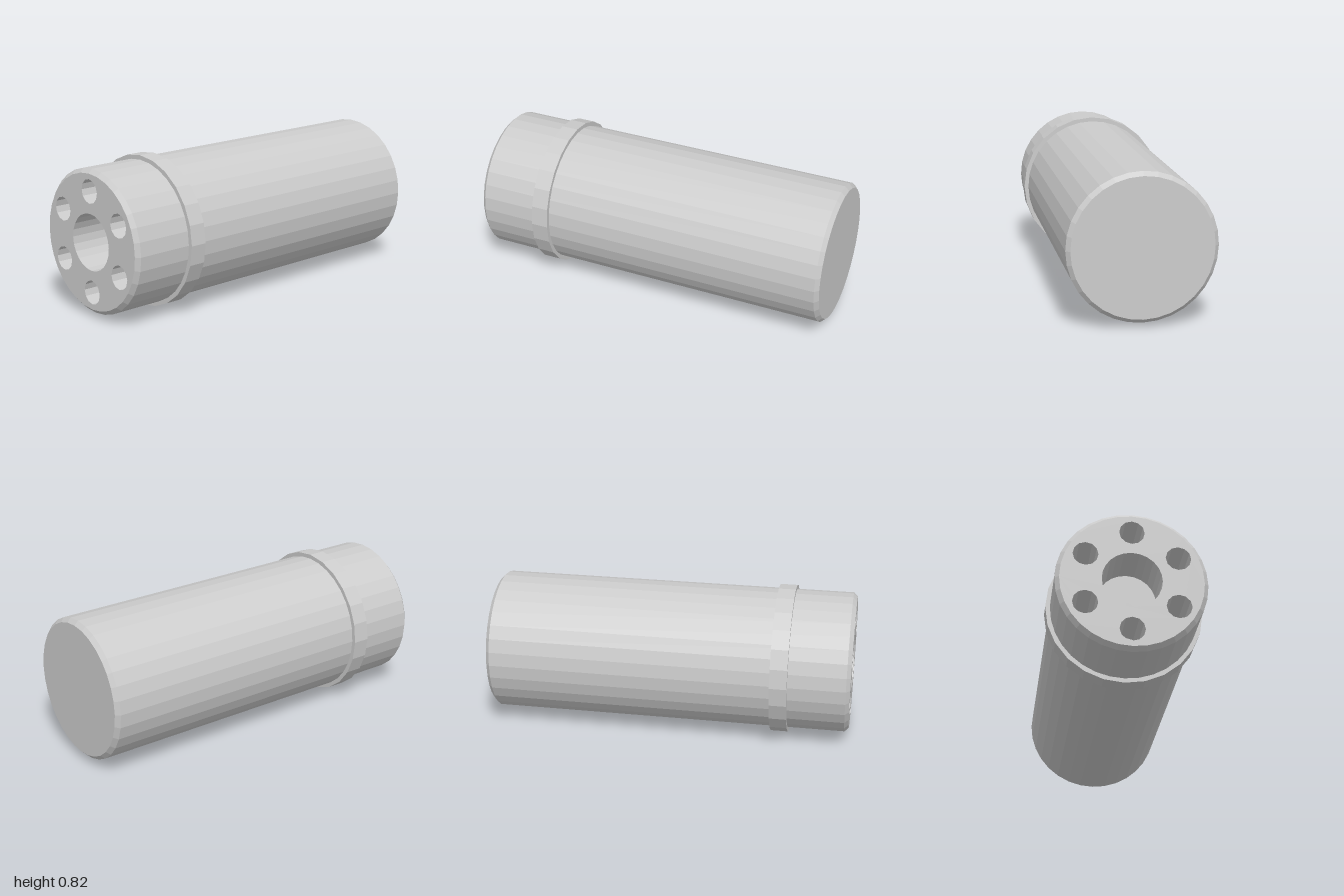
import * as THREE from 'three';

const CENTER_Y = 0.413;
const POCKET_DEPTH = 0.24;

// Points of a regular polygon, first corner at the top
function polygon(radius, sides, cx = 0, cy = 0) {
  return Array.from({ length: sides }, (_, i) => {
    const a = Math.PI / 2 + (i / sides) * Math.PI * 2;
    return new THREE.Vector2(cx + radius * Math.cos(a), cy + radius * Math.sin(a));
  });
}

// Profile of [radius, z] pairs turned about the z axis
function turned(profile, sides) {
  const points = profile.map(([r, z]) => new THREE.Vector2(r, z));
  return new THREE.LatheGeometry(points, sides).rotateX(Math.PI / 2);
}

export function createModel() {
  const group = new THREE.Group();
  group.name = 'cylinderWithCollar';
  const material = new THREE.MeshStandardMaterial({ color: 0xcccccc, flatShading: true });

  function add(name, geometry, x = 0, y = 0) {
    const mesh = new THREE.Mesh(geometry, material);
    mesh.name = name;
    mesh.position.set(x, CENTER_Y + y, 0);
    group.add(mesh);
  }

  // Long body with a chamfer at both ends, closed at the back
  add('body', turned([[0, -1], [0.365, -1], [0.387, -0.978], [0.387, 0.978], [0.365, 1]], 32));

  // Raised collar near the front
  add('collar', turned([[0.36, 0.572], [0.411, 0.572], [0.411, 0.666], [0.36, 0.666]], 24));

  // Centre bore and six smaller holes around it
  const holes = [{ name: 'centreBore', r: 0.153, sides: 24, x: 0, y: 0 }];
  for (let i = 0; i < 6; i++) {
    const a = Math.PI / 2 + (i * Math.PI) / 3;
    holes.push({
      name: `boltHole${i + 1}`, r: 0.065, sides: 12,
      x: 0.271 * Math.cos(a), y: 0.271 * Math.sin(a),
    });
  }

  // Front face with the holes cut out
  const face = new THREE.Shape(polygon(0.365, 32));
  for (const h of holes) face.holes.push(new THREE.Path(polygon(h.r, h.sides, h.x, h.y)));
  add('frontFace', new THREE.ShapeGeometry(face).translate(0, 0, 1));

  // Inward-facing walls and floors of the holes
  for (const h of holes) {
    const floor = 1 - POCKET_DEPTH;
    add(h.name, turned([[h.r, 1], [h.r, floor], [0, floor]], h.sides), h.x, h.y);
  }

  return group;
}
